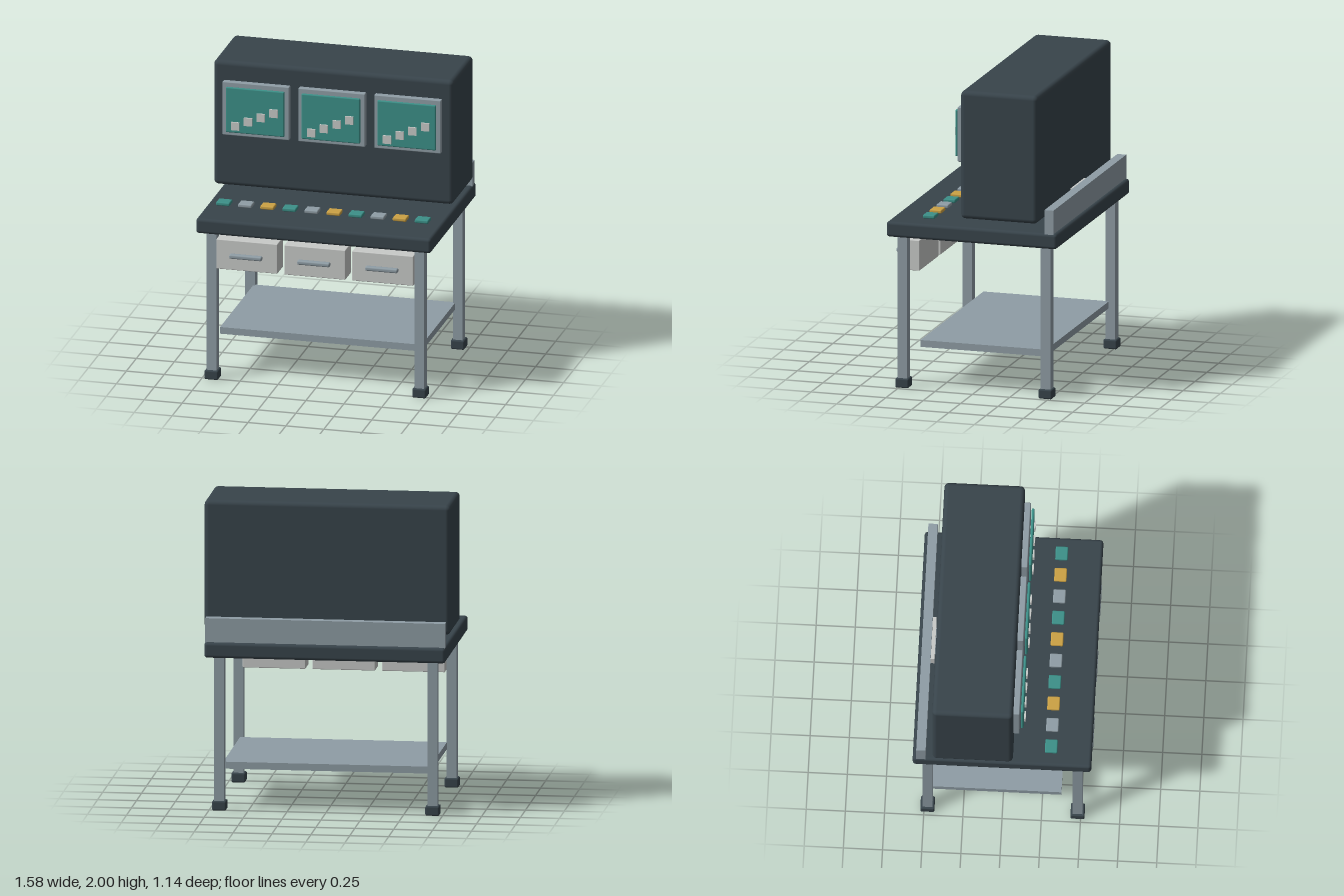
import * as THREE from 'three';
import { RoundedBoxGeometry } from 'three/addons/geometries/RoundedBoxGeometry.js';

const paint = (name, color) => {
  const m = new THREE.MeshStandardMaterial({ color });
  m.name = name;
  return m;
};

export function createModel() {
  const dark = paint('dark slate', 0x38444b);
  const steel = paint('steel grey', 0x8f9da5);
  const teal = paint('teal', 0x3c9088);
  const amber = paint('amber', 0xcba144);
  const pale = paint('pale grey', 0xc8cac8);

  const model = new THREE.Group();
  model.name = 'controlDesk';

  // Box given by its size and centre; a radius rounds its edges
  const box = (parent, name, mat, [w, h, d], [x, y, z], r = 0) => {
    const geo = r ? new RoundedBoxGeometry(w, h, d, 3, r) : new THREE.BoxGeometry(w, h, d);
    const mesh = new THREE.Mesh(geo, mat);
    mesh.name = name;
    mesh.position.set(x, y, z);
    parent.add(mesh);
    return mesh;
  };
  const group = (name, x = 0, y = 0, z = 0) => {
    const g = new THREE.Group();
    g.name = name;
    g.position.set(x, y, z);
    model.add(g);
    return g;
  };

  // Desk top, lower shelf and rear rail
  box(model, 'deskTop', dark, [1.55, 0.1, 1.14], [0, 1.05, 0], 0.02);
  box(model, 'shelf', steel, [1.33, 0.045, 0.84], [0, 0.288, -0.045]);
  box(model, 'rearRail', steel, [1.54, 0.16, 0.06], [0, 1.175, -0.517]);
  box(model, 'railPlate', pale, [0.285, 0.08, 0.024], [0, 1.205, -0.474]);
  box(model, 'railPlateStrip', steel, [0.19, 0.015, 0.009], [0, 1.205, -0.458]);

  // Legs with feet
  for (const x of [-0.685, 0.685]) {
    for (const z of [-0.478, 0.48]) {
      const leg = group('leg', x, 0, z);
      box(leg, 'post', steel, [0.064, 0.98, 0.064], [0, 0.51, 0]);
      box(leg, 'foot', dark, [0.09, 0.062, 0.09], [0, 0.033, 0], 0.01);
    }
  }

  // Drawers with bar handles
  for (const x of [-0.448, 0, 0.448]) {
    const drawer = group('drawer', x, 0.86, 0.458);
    box(drawer, 'drawerBox', pale, [0.404, 0.2, 0.145], [0, 0, 0], 0.005);
    box(drawer, 'drawerHandle', steel, [0.214, 0.028, 0.038], [0, 0.002, 0.095], 0.01);
  }

  // Display cabinet
  box(model, 'cabinet', dark, [1.58, 0.84, 0.515], [0, 1.58, -0.187], 0.03);

  // Screens, each with a rising row of square markers
  for (const x of [-0.5, 0, 0.5]) {
    const screen = group('screen', x, 1.695, 0);
    box(screen, 'bezel', steel, [0.44, 0.36, 0.04], [0, 0, 0.09], 0.006);
    box(screen, 'display', teal, [0.386, 0.305, 0.018], [0, 0, 0.126], 0.008);
    for (let i = 0; i < 4; i++) {
      box(screen, 'marker', pale, [0.054, 0.054, 0.012], [-0.127 + i * 0.084, -0.104 + i * 0.036, 0.14]);
    }
  }

  // Row of push buttons
  const buttonPaints = [teal, steel, amber];
  for (let i = 0; i < 10; i++) {
    const x = (i - 4.5) * 0.1455;
    box(model, 'button', buttonPaints[i % 3], [0.09, 0.024, 0.08], [x, 1.132, 0.31], 0.008);
  }

  return model;
}
